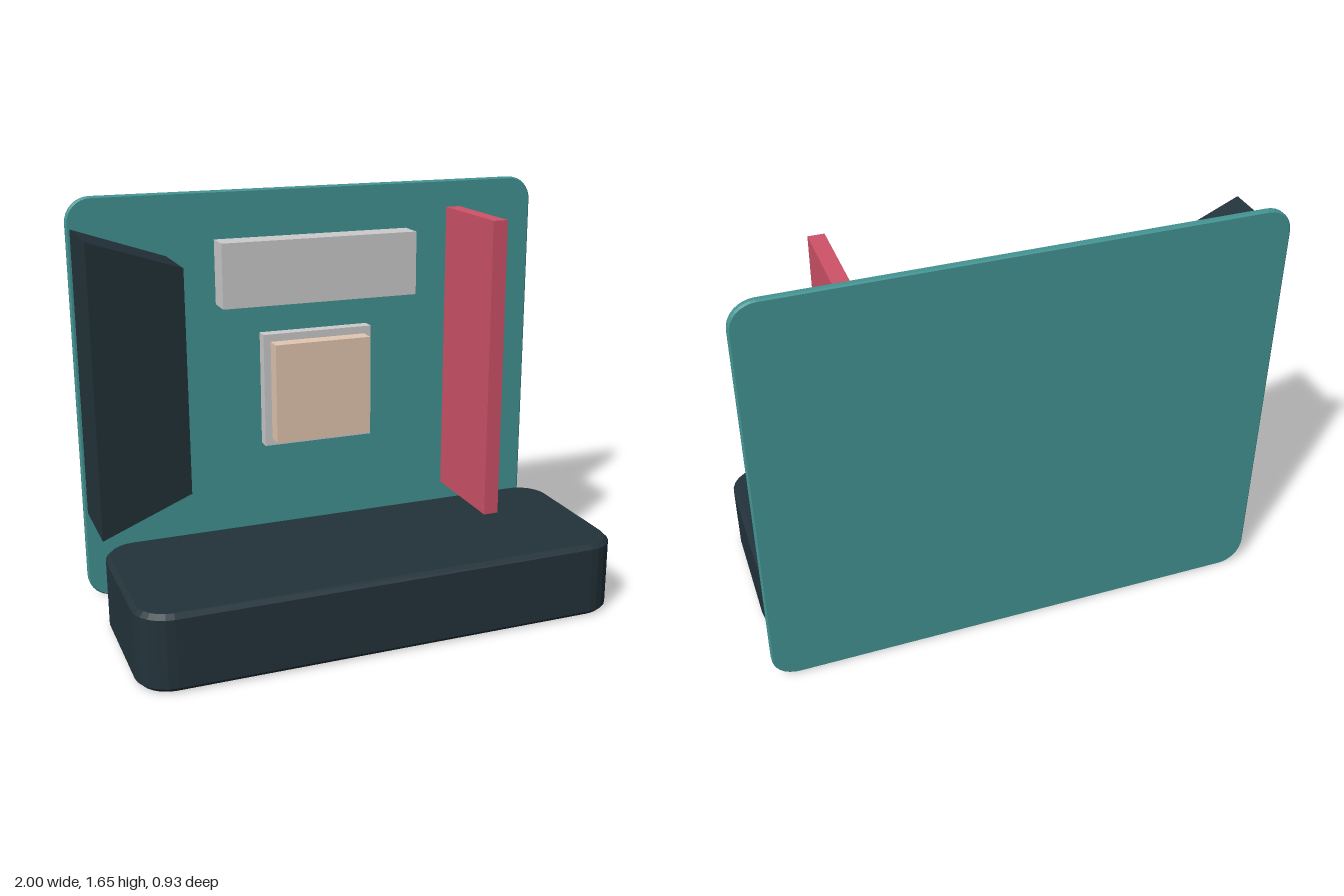
import * as THREE from 'three';

const TEAL = 0x429492, DARK = 0x23333b, RED = 0xcf5269, TAN = 0xe4c6b0, GREY = 0xcccccc;

function makeMesh(name, geometry, color) {
  const mesh = new THREE.Mesh(geometry, new THREE.MeshStandardMaterial({ color, flatShading: true }));
  mesh.name = name;
  return mesh;
}

// Box given by its limits on each axis
function box(name, color, [x0, x1], [y0, y1], [z0, z1]) {
  const mesh = makeMesh(name, new THREE.BoxGeometry(x1 - x0, y1 - y0, z1 - z0), color);
  mesh.position.set((x0 + x1) / 2, (y0 + y1) / 2, (z0 + z1) / 2);
  return mesh;
}

// Rounded rectangle with bevelled rims, centred, thickness along z
function roundedSlab(w, h, depth, radius, bevel, segments) {
  const x = w / 2 - bevel, y = h / 2 - bevel, r = radius - bevel;
  const s = new THREE.Shape();
  s.absarc(x - r, y - r, r, 0, Math.PI / 2);
  s.absarc(-x + r, y - r, r, Math.PI / 2, Math.PI);
  s.absarc(-x + r, -y + r, r, Math.PI, Math.PI * 1.5);
  s.absarc(x - r, -y + r, r, Math.PI * 1.5, Math.PI * 2);
  const geometry = new THREE.ExtrudeGeometry(s, {
    depth: depth - 2 * bevel, bevelEnabled: true, bevelSize: bevel,
    bevelThickness: bevel, bevelSegments: 1, curveSegments: segments,
  });
  return geometry.translate(0, 0, bevel - depth / 2);
}

export function createModel() {
  const model = new THREE.Group();
  model.name = 'circuitBoardAssembly';

  // Upright board
  const board = makeMesh('mainBoard', roundedSlab(2, 1.655, 0.028, 0.1, 0.006, 4), TEAL);
  board.position.set(0, 0.8275, -0.449);
  model.add(board);

  // Large bevelled block lying in front of the board
  const brick = makeMesh('expansionCard', roundedSlab(1.95, 0.715, 0.305, 0.13, 0.018, 3).rotateX(-Math.PI / 2), DARK);
  brick.position.set(0, 0.1525, 0.105);
  model.add(brick);

  // Side cover: a box whose inner side is shorter and shallower
  const cover = new THREE.BoxGeometry(1, 1, 1);
  const p = cover.attributes.position;
  for (let i = 0; i < p.count; i++) {
    const outer = p.getX(i) < 0, top = p.getY(i) > 0, front = p.getZ(i) > 0;
    p.setXYZ(i,
      outer ? -0.985 : -0.615,
      outer ? (top ? 1.535 : 0.378) : (top ? 1.408 : 0.507),
      front ? (outer ? -0.112 : -0.16) : -0.437);
  }
  cover.computeVertexNormals();
  model.add(makeMesh('portCover', cover, DARK));

  // Parts mounted on the board
  model.add(
    box('heatSink', GREY, [-0.42, 0.415], [1.2, 1.463], [-0.437, -0.325]),
    box('processorSocket', GREY, [-0.238, 0.235], [0.59, 1.068], [-0.437, -0.382]),
    box('processor', TAN, [-0.208, 0.205], [0.62, 1.037], [-0.382, -0.314]),
    box('memoryModule', RED, [0.558, 0.62], [0.337, 1.555], [-0.345, 0.08]),
    box('cardSlot', DARK, [-0.79, -0.05], [0.097, 0.213], [-0.437, -0.317]),
    box('cardConnector', DARK, [-0.79, -0.05], [0.142, 0.166], [-0.317, -0.24]),
  );
  return model;
}
